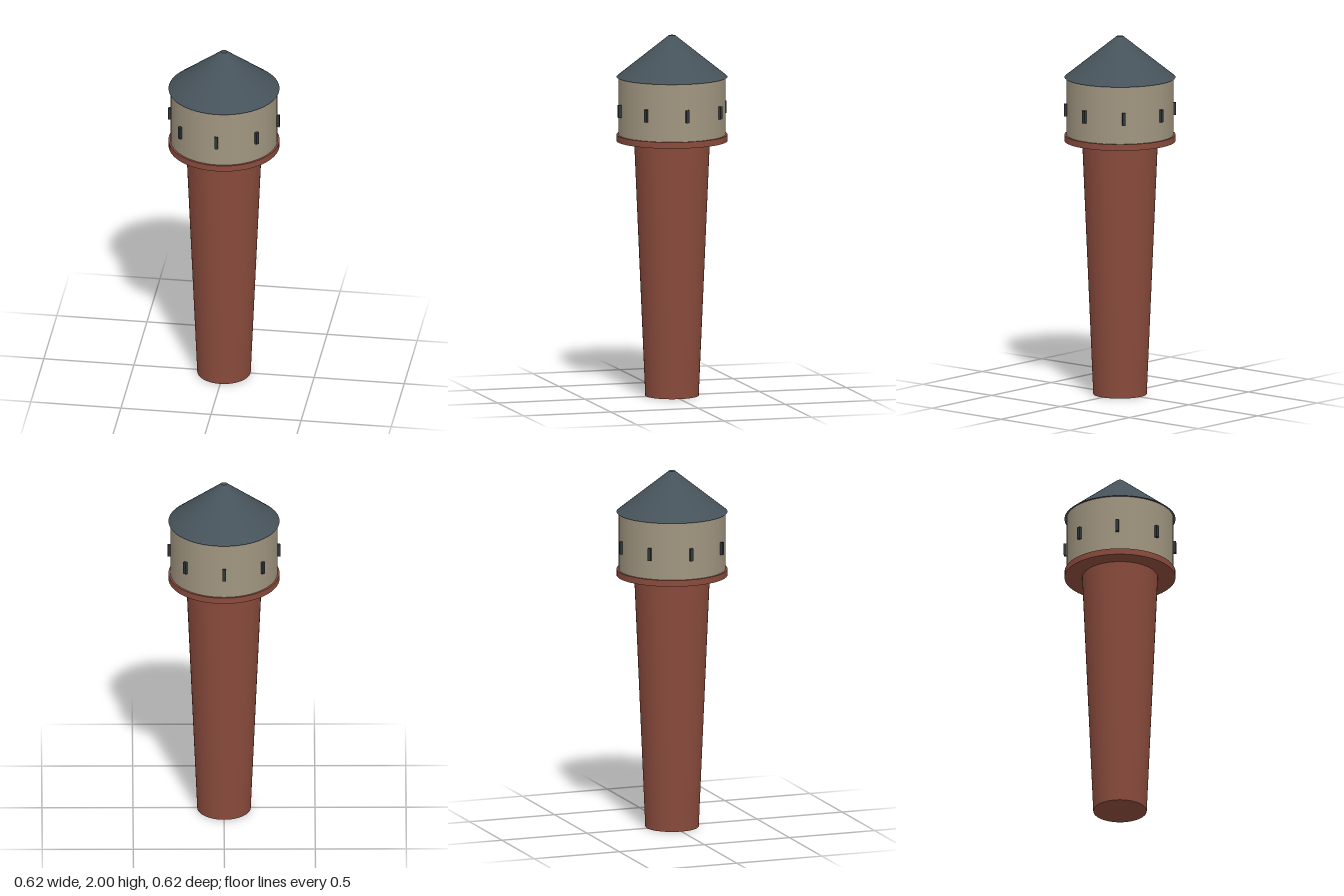
import * as THREE from 'three';

export function createModel() {
  const tower = new THREE.Group();
  tower.name = 'waterTower';
  const material = (color) => new THREE.MeshStandardMaterial({ color });
  const brick = material(0x8a4b3c);
  const plaster = material(0xa09580);
  const slate = material(0x46525a);
  const dark = material(0x30363a);

  // Round section standing between two heights
  const addRound = (name, rTop, rBottom, y0, y1, mat) => {
    const mesh = new THREE.Mesh(new THREE.CylinderGeometry(rTop, rBottom, y1 - y0, 64), mat);
    mesh.name = name;
    mesh.position.y = (y0 + y1) / 2;
    tower.add(mesh);
  };

  addRound('shaft', 0.208, 0.147, 0, 1.415, brick);
  addRound('collar', 0.305, 0.305, 1.415, 1.45, brick);
  addRound('tankDrum', 0.294, 0.294, 1.45, 1.77, plaster);
  addRound('roof', 0.018, 0.305, 1.77, 2, slate);

  // Narrow windows spaced evenly round the drum
  const windowGeometry = new THREE.BoxGeometry(0.018, 0.07, 0.02);
  for (let i = 0; i < 8; i++) {
    const angle = (i * Math.PI) / 4;
    const pane = new THREE.Mesh(windowGeometry, dark);
    pane.name = 'window' + (i + 1);
    pane.position.set(Math.sin(angle) * 0.299, 1.59, Math.cos(angle) * 0.299);
    pane.rotation.y = angle;
    tower.add(pane);
  }
  return tower;
}
